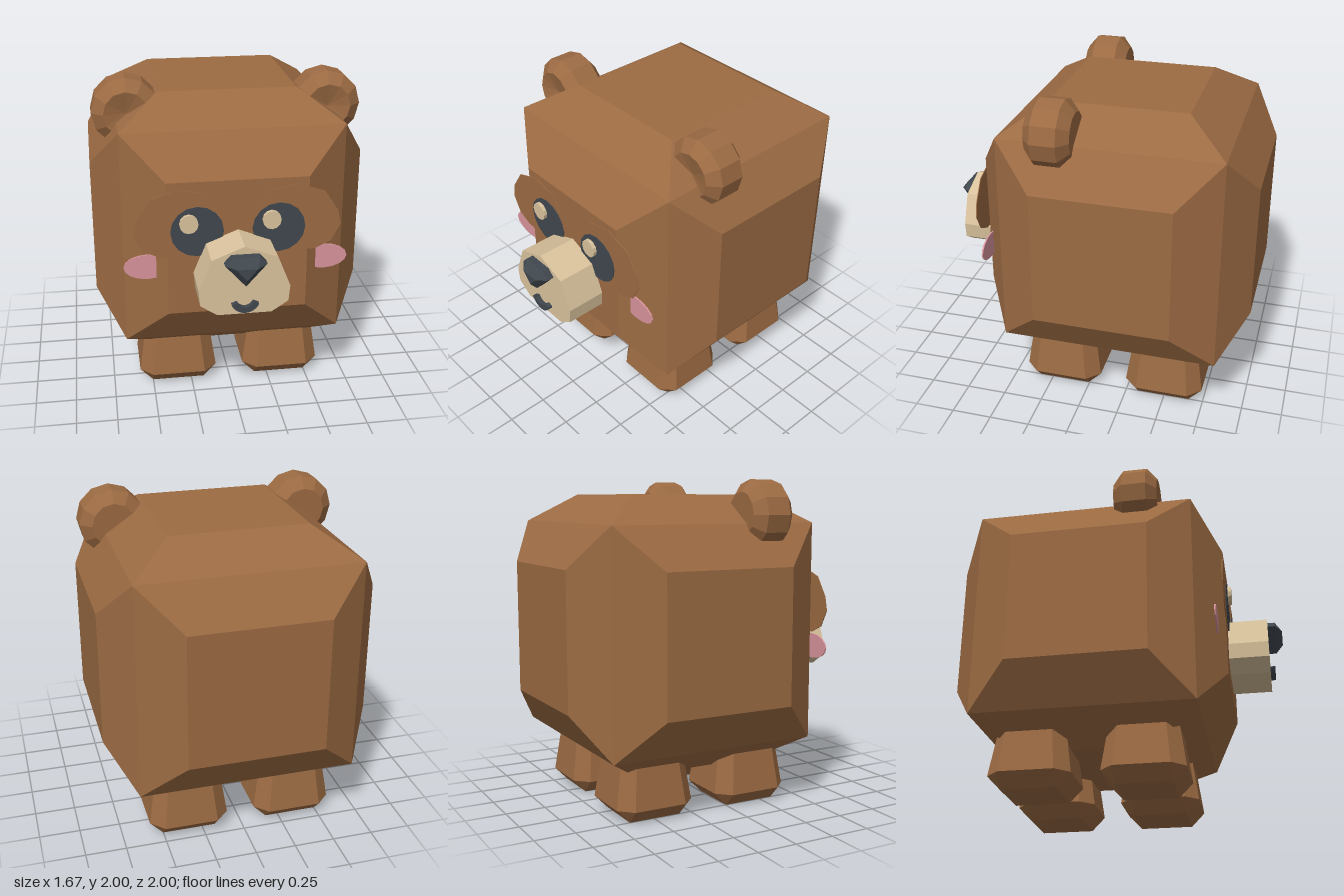
import * as THREE from 'three';
import { ConvexGeometry } from 'three/addons/geometries/ConvexGeometry.js';

function material(name, color) {
  const m = new THREE.MeshStandardMaterial({ color });
  m.name = name;
  return m;
}

export function createModel() {
  const brown = material('brownFur', 0x9c6b43);
  const tan = material('tanMuzzle', 0xdac39d);
  const dark = material('darkSlate', 0x40474e);
  const pink = material('pinkCheek', 0xd9959c);

  const model = new THREE.Group();
  model.name = 'cubeBear';

  const add = (name, geometry, mat, x = 0, y = 0, z = 0) => {
    const mesh = new THREE.Mesh(geometry, mat);
    mesh.name = name;
    mesh.position.set(x, y, z);
    model.add(mesh);
    return mesh;
  };
  const hull = (points) => new ConvexGeometry(points.map((p) => new THREE.Vector3(...p)));
  // Flat plate or prism from an outline, between two depths
  const slab = (shape, z0, z1, curveSegments = 8) => {
    const g = new THREE.ExtrudeGeometry(shape, { depth: z1 - z0, bevelEnabled: false, curveSegments });
    return g.translate(0, 0, z0);
  };
  const outline = (pts) => new THREE.Shape(pts.map((p) => new THREE.Vector2(...p)));
  const ellipse = (x, y, rx, ry) => new THREE.Shape().absellipse(x, y, rx, ry, 0, Math.PI * 2);
  const signs = [-1, 1];
  const sideName = (s) => (s > 0 ? 'left' : 'right');

  // Body: a cube with a shallow frustum raised on every face
  const bodyPoints = [];
  for (const x of signs) for (const y of signs) for (const z of signs) {
    for (const [a, b, c] of [[0.665, 0.665, 0.665], [0.833, 0.415, 0.415], [0.415, 0.833, 0.415], [0.415, 0.415, 0.833]]) {
      bodyPoints.push([x * a, y * b, z * c]);
    }
  }
  add('body', hull(bodyPoints), brown, 0, 1.08, -0.165);

  // Legs: tapered blocks with cut corners and a bevelled foot
  const legPoints = [];
  for (const x of signs) for (const z of signs) {
    legPoints.push([x * 0.165, 0, z * 0.165]);
    for (const [y, wide, narrow] of [[0.085, 0.247, 0.165], [0.42, 0.198, 0.132]]) {
      legPoints.push([x * wide, y, z * narrow], [x * narrow, y, z * wide]);
    }
  }
  const legGeometry = hull(legPoints);
  for (const s of signs) {
    add(sideName(s) + 'FrontLeg', legGeometry, brown, s * 0.335, 0, 0.17);
    add(sideName(s) + 'BackLeg', legGeometry, brown, s * 0.335, 0, -0.493);
  }

  // Ears: bevelled discs with a dished front
  const earProfile = [[0, 0.03], [0.135, 0.03], [0.205, 0.09], [0.205, 0.24], [0.135, 0.3], [0, 0.27]]
    .map((p) => new THREE.Vector2(...p));
  const earGeometry = new THREE.LatheGeometry(earProfile, 12).rotateX(Math.PI / 2).toNonIndexed();
  earGeometry.computeVertexNormals();
  for (const s of signs) add(sideName(s) + 'Ear', earGeometry, brown, s * 0.605, 1.795, 0);

  // Eye patches, eyes and cheeks, mirrored
  const patch = [[0.61, 1.19], [0.59, 1.28], [0.51, 1.4], [0.35, 1.455], [0.17, 1.42], [0.11, 1.32],
    [0.085, 1.2], [0.085, 1.04], [0.46, 1.04], [0.555, 1.085]];
  for (const s of signs) {
    const side = sideName(s);
    add(side + 'EyePatch', slab(outline(patch.map(([x, y]) => [s * x, y])), 0.667, 0.672), brown);
    add(side + 'Eye', slab(ellipse(s * 0.24, 1.192, 0.156, 0.154), 0.669, 0.677), dark);
    add(side + 'Cheek', slab(ellipse(s * 0.53, 0.963, 0.14, 0.078), 0.617, 0.626), pink);
    // Both highlights sit on the same side of the eyes
    add(side + 'EyeHighlight', slab(ellipse(s * 0.242 - 0.048, 1.25, 0.055, 0.057), 0.682, 0.704, 6), tan);
  }

  // Muzzle prism
  const halfMuzzle = [[0.158, 0.77], [0.255, 0.835], [0.264, 0.93], [0.19, 1.115]];
  const muzzle = [...halfMuzzle, [0, 1.19], ...halfMuzzle.map(([x, y]) => [-x, y]).reverse()];
  add('muzzle', slab(outline(muzzle), 0.62, 0.912), tan);

  // Faceted nose
  const nosePoints = [[0, 1.02, 1]];
  for (const s of signs) nosePoints.push([s * 0.06, 1.09, 1]);
  for (const z of [0.89, 0.957]) {
    nosePoints.push([0, 0.965, z]);
    for (const s of signs) nosePoints.push([s * 0.12, 1.1, z], [s * 0.08, 1.145, z]);
  }
  add('nose', hull(nosePoints), dark);

  // Smile: a curved band
  const smile = new THREE.Shape();
  const start = Math.PI * 1.12, end = Math.PI * 1.88;
  smile.absarc(0, 0.874, 0.085, start, end, false);
  smile.absarc(0, 0.874, 0.05, end, start, true);
  add('mouth', slab(smile, 0.9, 0.942), dark);

  return model;
}
